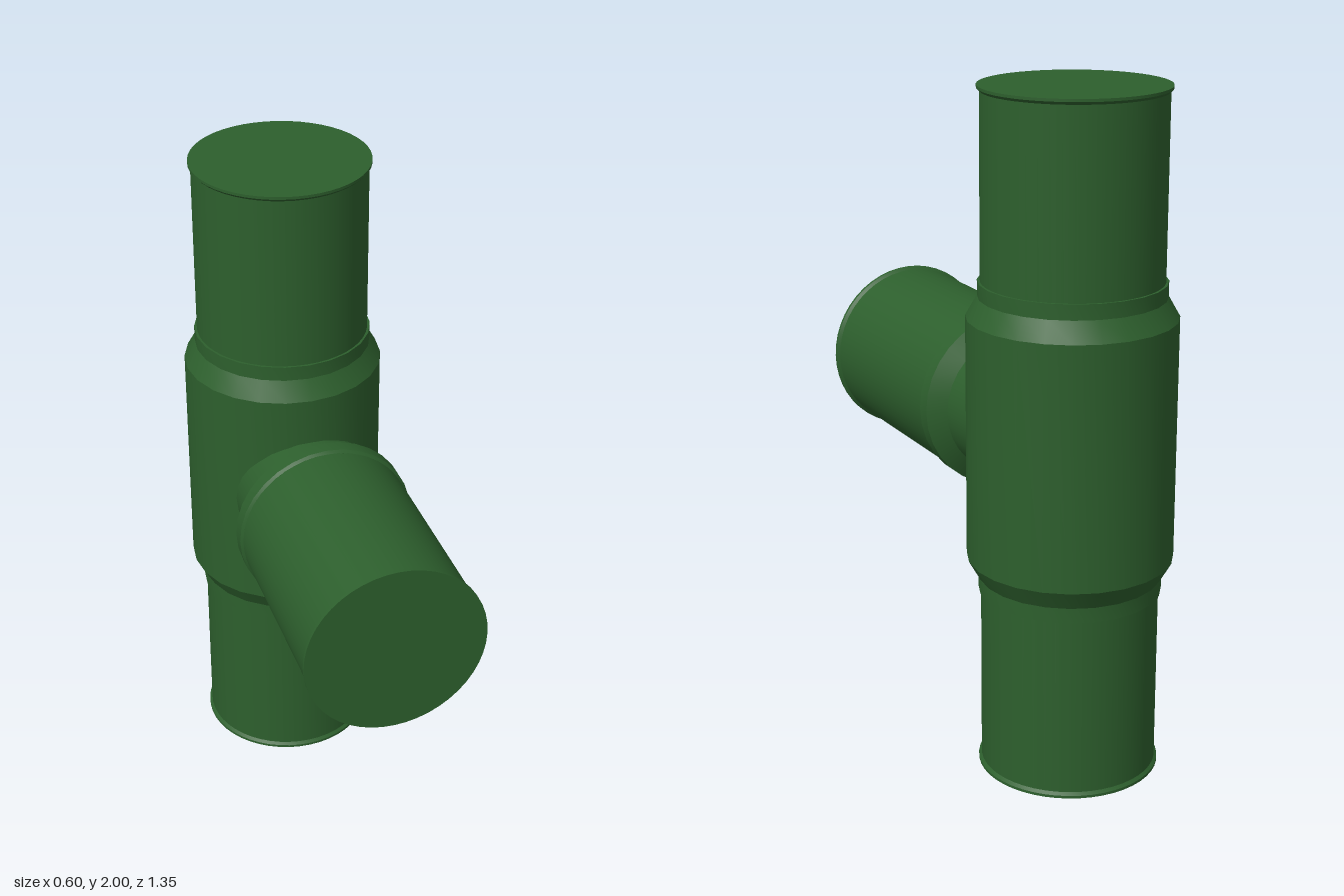
import * as THREE from 'three';
import { toCreasedNormals } from 'three/addons/utils/BufferGeometryUtils.js';

const MID = 1.005;      // height of the branch axis
const RUN_Z = -0.38;    // depth of the vertical run axis
const PIPE = 0.257, COLLAR = 0.265, BODY = 0.298, NECK = 0.213;

const material = new THREE.MeshStandardMaterial({ color: 0x2d5f2d });

// Turned solid from [radius, height] pairs listed bottom to top
function turned(name, profile, segments) {
  const points = profile.map(([r, y]) => new THREE.Vector2(r, y));
  const geometry = toCreasedNormals(new THREE.LatheGeometry(points, segments), 0.4);
  const mesh = new THREE.Mesh(geometry, material);
  mesh.name = name;
  return mesh;
}

export function createModel() {
  const group = new THREE.Group();
  group.name = 'pipeTee';

  // Vertical pipe with a thin lip at each end
  const runPipe = turned('runPipe', [
    [0, 0], [COLLAR, 0], [COLLAR, 0.008], [PIPE, 0.016],
    [PIPE, 1.984], [COLLAR, 1.992], [COLLAR, 2], [0, 2],
  ], 48);

  // Wider central sleeve with tapered shoulders and collars
  const sleeve = turned('sleeve', [
    [PIPE - 0.01, 0.548], [COLLAR, 0.548], [COLLAR, 0.592], [BODY, 0.65],
    [BODY, 1.36], [COLLAR, 1.418], [COLLAR, 1.462], [PIPE - 0.01, 1.462],
  ], 24);
  runPipe.position.z = sleeve.position.z = RUN_Z;

  // Branch: neck, collar and pipe, turned upright then laid along +z
  const branch = new THREE.Group();
  branch.name = 'branch';
  branch.add(
    turned('branchNeck', [[0, -0.36], [NECK, -0.36], [NECK, 0]], 32),
    turned('branchCollar', [
      [NECK - 0.01, -0.025], [NECK, -0.025], [COLLAR, 0.01],
      [COLLAR, 0.052], [PIPE, 0.06], [PIPE - 0.01, 0.06],
    ], 32),
    turned('branchPipe', [
      [PIPE, 0.03], [PIPE, 0.657], [COLLAR, 0.666], [COLLAR, 0.675], [0, 0.675],
    ], 48),
  );
  branch.rotation.x = Math.PI / 2;
  branch.position.y = MID;

  group.add(runPipe, sleeve, branch);
  return group;
}
